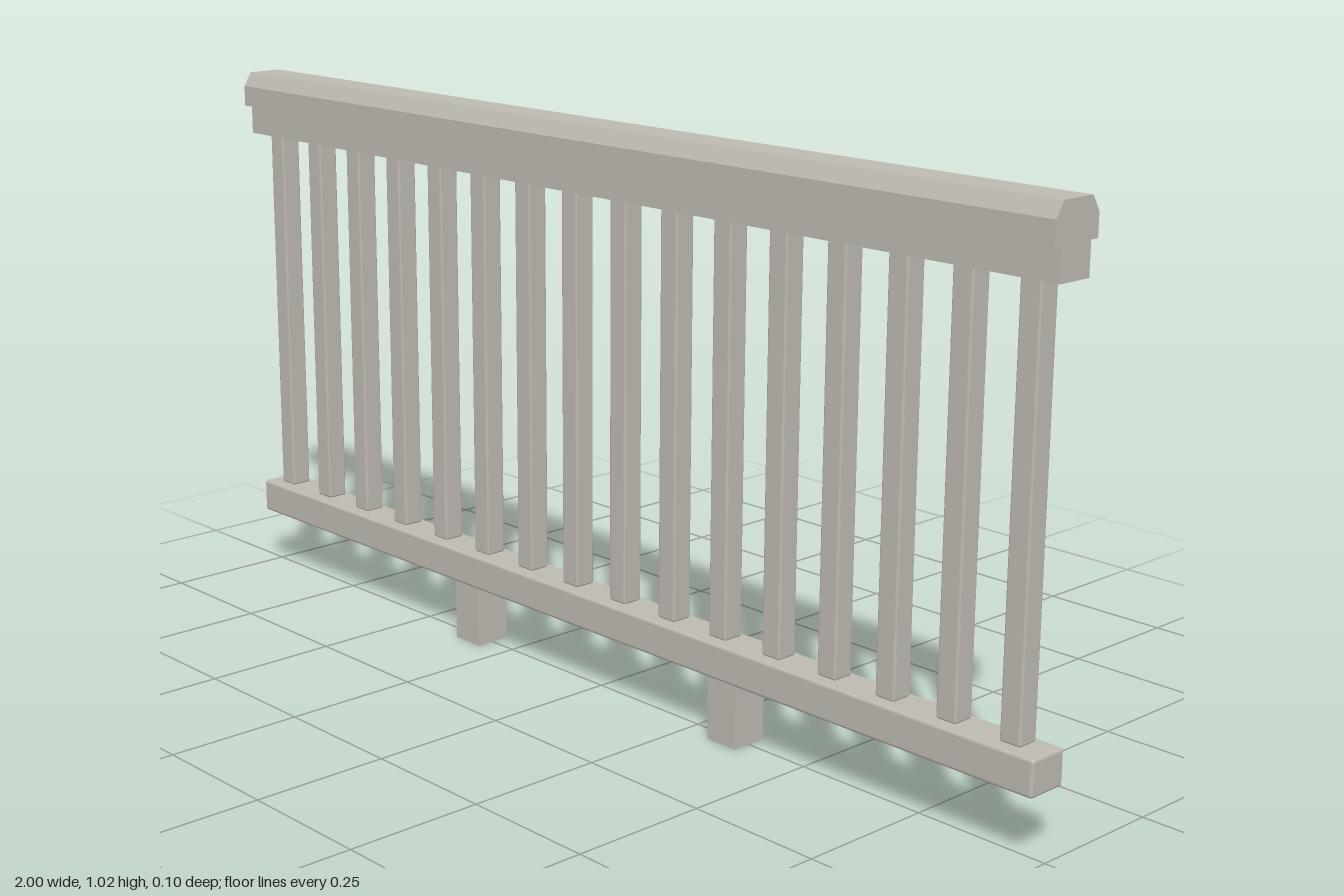
import * as THREE from 'three';
import { RoundedBoxGeometry } from 'three/addons/geometries/RoundedBoxGeometry.js';

export function createModel() {
  const model = new THREE.Group();
  model.name = 'railing';
  const paint = new THREE.MeshStandardMaterial({ color: 0xbdb9b1 });
  paint.name = 'warm grey paint';

  const add = (name, geometry, x = 0, y = 0, z = 0) => {
    const mesh = new THREE.Mesh(geometry, paint);
    mesh.name = name;
    mesh.position.set(x, y, z);
    model.add(mesh);
  };

  // Handrail: a stepped profile with a chamfered cap, run along x
  const half = [[0.034, 0.902], [0.034, 0.958], [0.05, 0.958], [0.05, 0.997], [0.034, 1.023]];
  const outline = [...half, ...half.map(([z, y]) => [-z, y]).reverse()];
  const profile = new THREE.Shape(outline.map(([z, y]) => new THREE.Vector2(z, y)));
  const handrail = new THREE.ExtrudeGeometry(profile, { depth: 2, bevelEnabled: false });
  handrail.translate(0, 0, -1).rotateY(Math.PI / 2);
  add('handrail', handrail);

  // Bottom rail with softened edges
  add('bottomRail', new RoundedBoxGeometry(1.995, 0.064, 0.076, 2, 0.006), 0, 0.146);

  // Evenly spaced balusters between the rails
  const count = 16;
  const balusterGeometry = new RoundedBoxGeometry(0.04, 0.722, 0.04, 2, 0.004);
  for (let i = 0; i < count; i++) {
    add('baluster', balusterGeometry, -0.938 + (i * 1.876) / (count - 1), 0.541);
  }

  // Two support blocks under the bottom rail
  const footGeometry = new THREE.BoxGeometry(0.066, 0.116, 0.068);
  for (const side of [-1, 1]) add('foot', footGeometry, side * 0.34, 0.058);

  return model;
}
